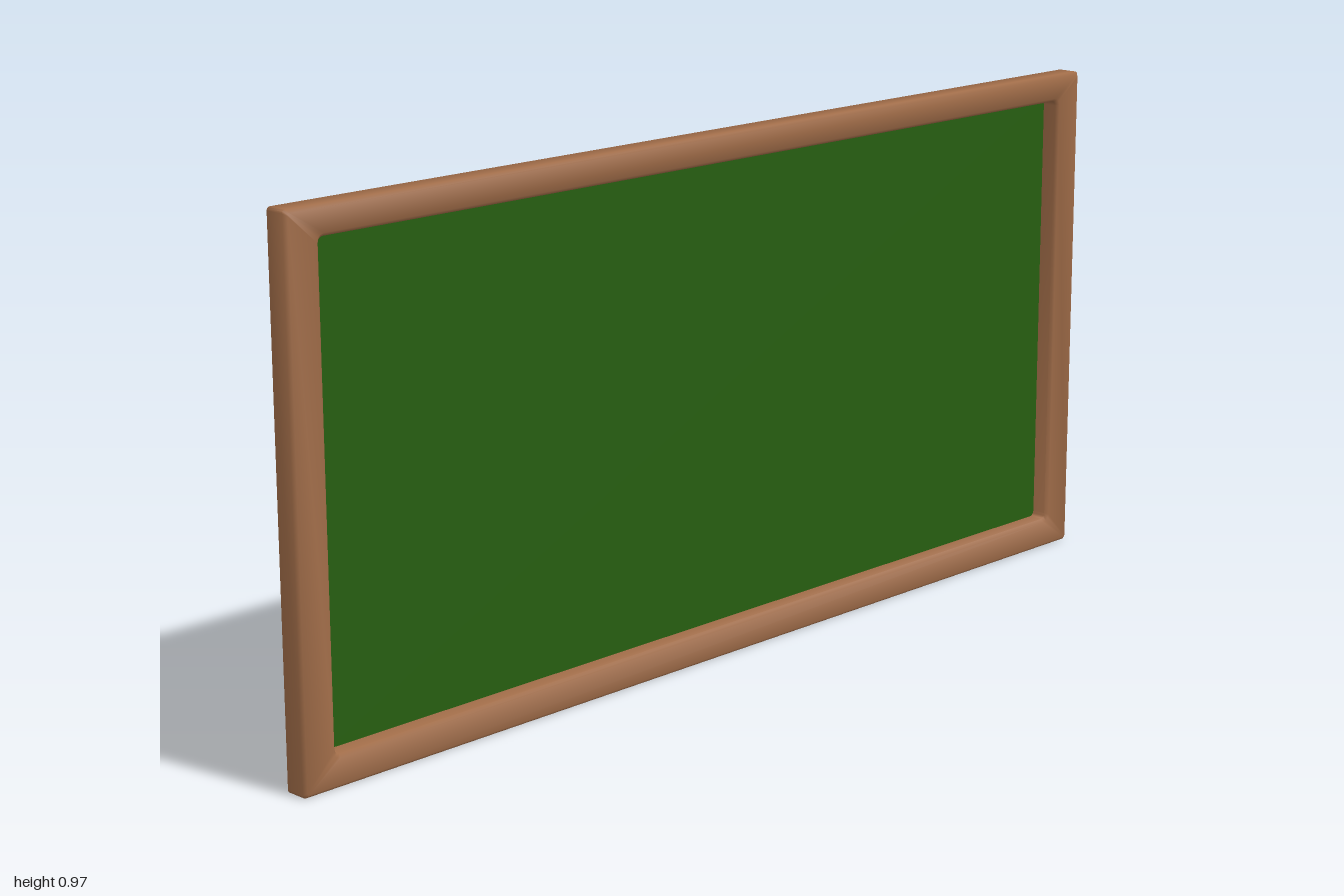
import * as THREE from 'three';
import { toCreasedNormals } from 'three/addons/utils/BufferGeometryUtils.js';

const ARC = 3; // segments per rounded corner

// Rectangle with rounded corners, counter-clockwise seen from +z
function ring([halfW, bottom, top, radius, z]) {
  const points = [];
  const corners = [[1, top], [-1, top], [-1, bottom], [1, bottom]];
  corners.forEach(([side, y], c) => {
    const cx = side * (halfW - radius);
    const cy = y + (y === top ? -radius : radius);
    for (let i = 0; i <= ARC; i++) {
      const a = (c + i / ARC) * Math.PI / 2;
      points.push([cx + radius * Math.cos(a), cy + radius * Math.sin(a), z]);
    }
  });
  return points;
}

// Skin through the rings, with the first one closed
function loft(rings) {
  const n = rings[0].length;
  const index = [];
  for (let i = 1; i < n - 1; i++) index.push(0, i + 1, i);
  for (let r = 0; r < rings.length - 1; r++) {
    for (let i = 0; i < n; i++) {
      const j = (i + 1) % n;
      const a = r * n + i, b = r * n + j;
      index.push(a, b, b + n, a, b + n, a + n);
    }
  }
  const geometry = new THREE.BufferGeometry();
  geometry.setAttribute('position', new THREE.Float32BufferAttribute(rings.flat(2), 3));
  geometry.setIndex(index);
  return toCreasedNormals(geometry, 1.0);
}

export function createModel() {
  const group = new THREE.Group();
  group.name = 'chalkboard';
  const wood = new THREE.MeshStandardMaterial({ color: 0xa06c48 });
  const green = new THREE.MeshStandardMaterial({ color: 0x265e10 });

  // Wooden frame with closed back: half width, bottom, top, corner radius, z
  const profile = [
    [0.93, 0.06, 0.91, 0.008, -0.025],
    [0.994, 0.006, 0.964, 0.004, -0.025],
    [1.0, 0, 0.97, 0.006, -0.019],
    [1.0, 0, 0.97, 0.006, 0.019],
    [0.994, 0.006, 0.964, 0.004, 0.025],
    [0.938, 0.052, 0.924, 0.014, 0.025],
    [0.932, 0.058, 0.918, 0.01, 0.019],
    [0.932, 0.058, 0.918, 0.01, -0.014],
  ];
  const frame = new THREE.Mesh(loft(profile.map(ring)), wood);
  frame.name = 'frame';
  group.add(frame);

  // Writing surface, recessed into the frame
  const board = new THREE.Mesh(new THREE.BoxGeometry(1.88, 0.876, 0.008), green);
  board.name = 'writingSurface';
  board.position.set(0, 0.488, -0.013);
  group.add(board);

  return group;
}
